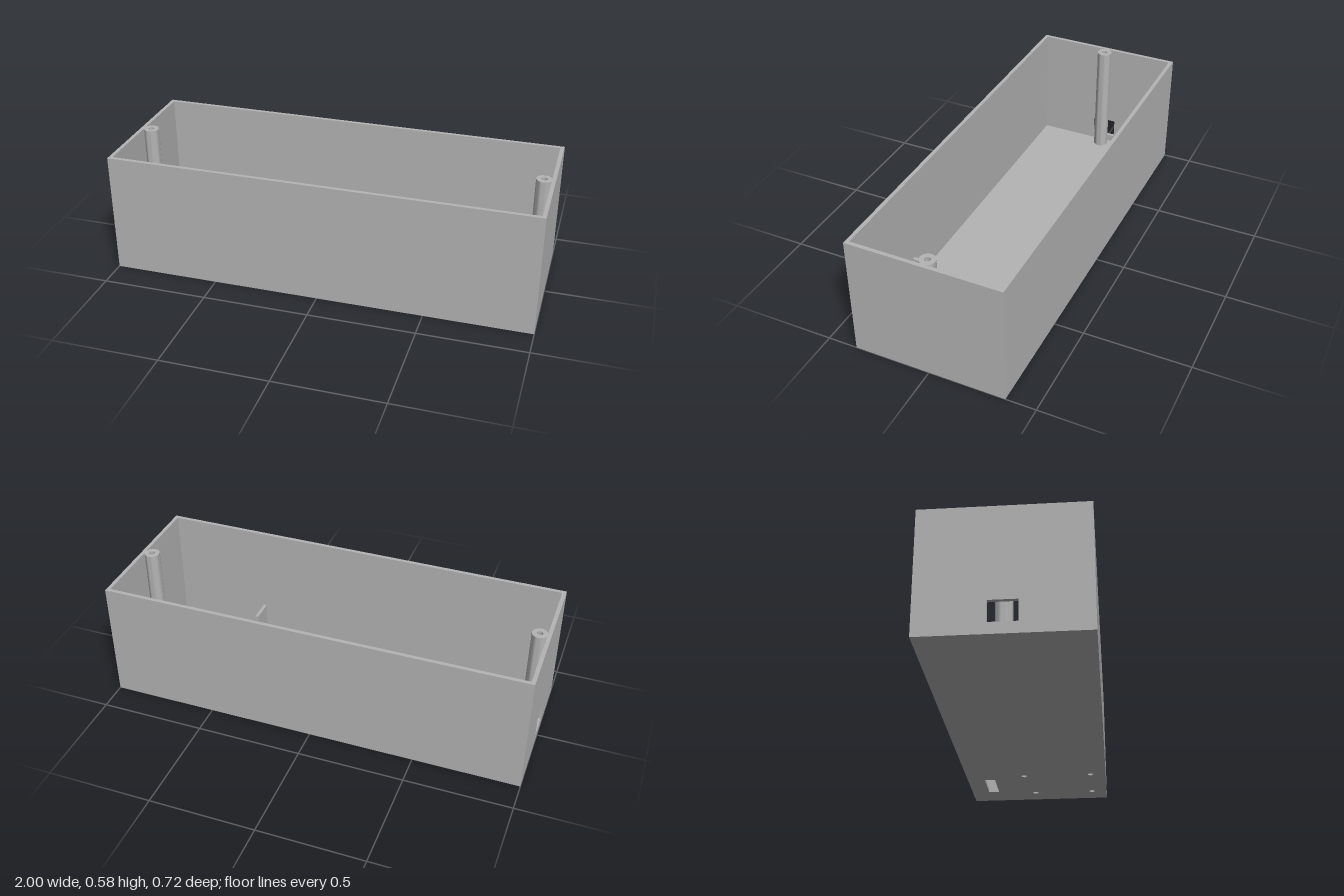
import * as THREE from 'three';
import { toCreasedNormals } from 'three/addons/utils/BufferGeometryUtils.js';

const L = 2, H = 0.58, W = 0.72, T = 0.018;

// Closed rectangle between two corners, as a Shape or a hole Path
function rect(Type, x0, y0, x1, y1) {
  return new Type([[x0, y0], [x1, y0], [x1, y1], [x0, y1]].map(p => new THREE.Vector2(...p)));
}

function circle(Type, x, y, r) {
  const c = new Type();
  c.absarc(x, y, r, 0, Math.PI * 2, false);
  return c;
}

function extrude(shape, depth) {
  const g = new THREE.ExtrudeGeometry(shape, { depth, bevelEnabled: false, curveSegments: 16 });
  return toCreasedNormals(g, 0.6);
}

export function createModel() {
  const group = new THREE.Group();
  const grey = new THREE.MeshStandardMaterial({ color: 0xb4b4b4 });
  grey.name = 'grey plastic';

  function add(name, geometry, x, y, z) {
    const mesh = new THREE.Mesh(geometry, grey);
    mesh.name = name;
    mesh.position.set(x, y, z);
    group.add(mesh);
  }

  // Floor with a slot and four screw holes
  const floor = rect(THREE.Shape, -L / 2, -W / 2, L / 2, W / 2);
  floor.holes.push(rect(THREE.Path, 0.66, -0.272, 0.855, -0.218));
  for (const [x, z] of [[0.617, -0.06], [0.885, -0.02], [0.617, 0.283], [0.885, 0.283]]) {
    floor.holes.push(circle(THREE.Path, x, z, 0.015));
  }
  add('floor', extrude(floor, T).rotateX(Math.PI / 2), 0, T, 0);

  // Long walls, each with a low divider rib inside
  for (const s of [1, -1]) {
    const side = s > 0 ? 'front' : 'back';
    add(side + 'Wall', new THREE.BoxGeometry(L, H - T, T), 0, (H + T) / 2, s * (W - T) / 2);
    const ribLength = W / 2 - T - 0.23;
    add(side + 'Rib', new THREE.BoxGeometry(0.016, 0.15 - T, ribLength),
      0.517, (0.15 + T) / 2, s * (0.23 + ribLength / 2));
  }

  // Plain end wall
  add('leftWall', new THREE.BoxGeometry(T, H - T, W - 2 * T), (L - T) / 2, (H + T) / 2, 0);

  // End wall with the port opening
  const portWall = rect(THREE.Shape, -W / 2 + T, T, W / 2 - T, H);
  portWall.holes.push(rect(THREE.Path, -0.063, 0.052, 0.06, 0.148));
  add('portWall', extrude(portWall, T).rotateY(-Math.PI / 2), -L / 2 + T, 0, 0);

  // Hollow screw posts at both ends
  const post = circle(THREE.Shape, 0, 0, 0.036);
  post.holes.push(circle(THREE.Path, 0, 0, 0.014));
  for (const s of [1, -1]) {
    add(s > 0 ? 'leftScrewPost' : 'rightScrewPost',
      extrude(post, H - T).rotateX(-Math.PI / 2), s * 0.948, T, 0);
  }
  return group;
}
